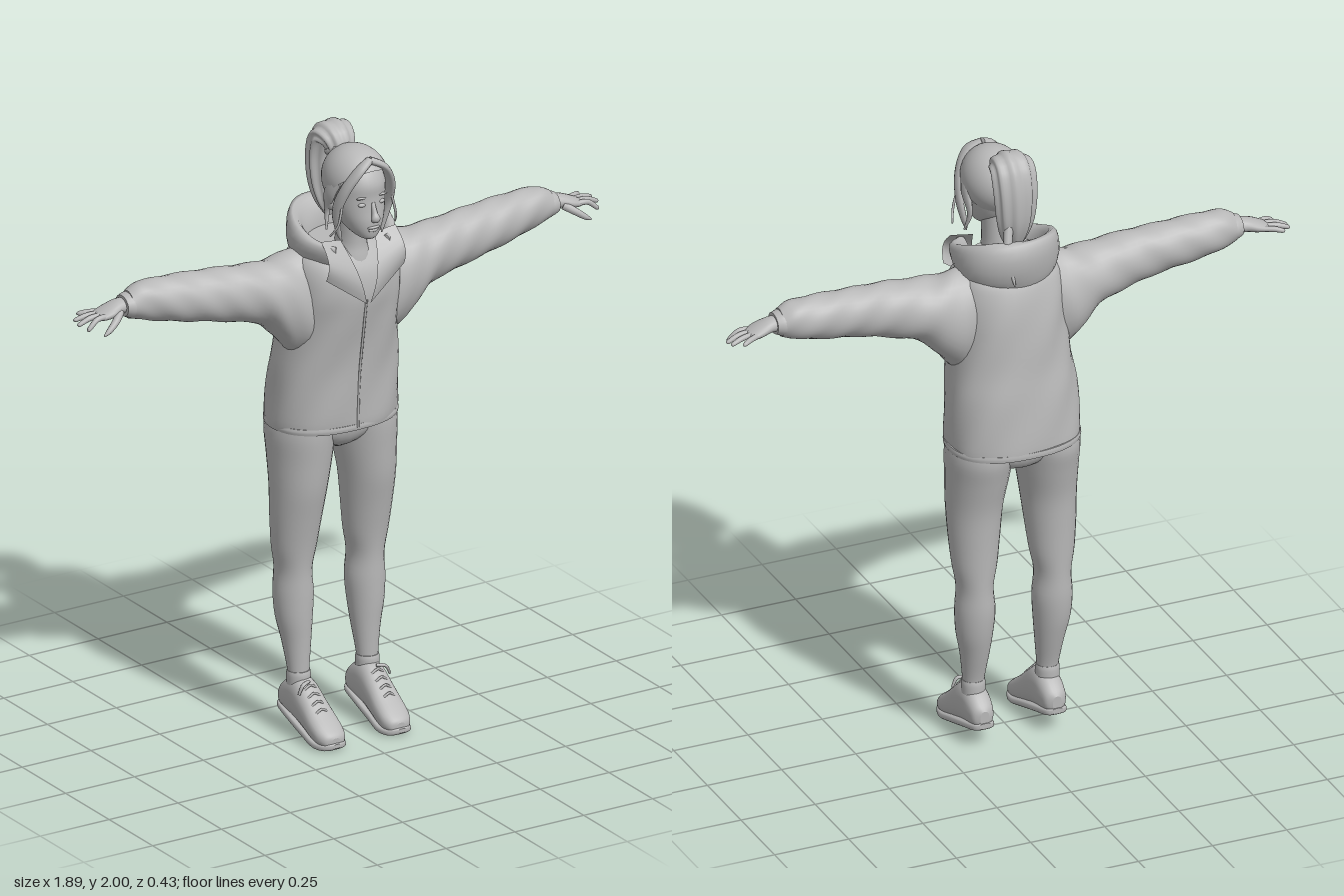
import * as THREE from 'three';

const V = (x, y, z) => new THREE.Vector3(x, y, z);

// Catmull-Rom refinement of rows of numbers
function refine(rows, k = 4) {
  const out = [], at = i => rows[Math.min(rows.length - 1, Math.max(0, i))];
  for (let i = 0; i < rows.length - 1; i++) {
    for (let j = 0; j < k; j++) {
      const s = j / k;
      out.push(at(i).map((b, c) => {
        const a = at(i - 1)[c], d = at(i + 1)[c], e = at(i + 2)[c];
        return 0.5 * (2 * b + (d - a) * s + (2 * a - 5 * b + 4 * d - e) * s * s + (3 * b - a - 3 * d + e) * s * s * s);
      }));
    }
  }
  out.push(rows[rows.length - 1]);
  return out;
}

// Skin over closed rings of points with capped ends, turned to face outward
function skin(rings) {
  const n = rings[0].length, pts = rings.flat(), idx = [];
  for (let i = 0; i < rings.length - 1; i++) for (let j = 0; j < n; j++) {
    const a = i * n + j, b = i * n + (j + 1) % n;
    idx.push(a, a + n, b, b, a + n, b + n);
  }
  [rings[0], rings[rings.length - 1]].forEach((ring, end) => {
    const base = pts.length, mid = V(0, 0, 0);
    ring.forEach(p => { pts.push(p); mid.addScaledVector(p, 1 / n); });
    pts.push(mid);
    for (let j = 0; j < n; j++) {
      const a = base + j, b = base + (j + 1) % n;
      if (end) idx.push(a, base + n, b); else idx.push(a, b, base + n);
    }
  });
  let volume = 0;
  const cross = V(0, 0, 0);
  for (let i = 0; i < idx.length; i += 3) volume += pts[idx[i]].dot(cross.crossVectors(pts[idx[i + 1]], pts[idx[i + 2]]));
  if (volume < 0) idx.reverse();
  const g = new THREE.BufferGeometry().setFromPoints(pts);
  g.setIndex(idx);
  g.computeVertexNormals();
  return g;
}

// Ring of n points around c spanned by u and v; power < 1 squares it
function ring(c, u, v, n, power = 1, ripple = () => 1) {
  return Array.from({ length: n }, (_, j) => {
    const t = j / n * Math.PI * 2, r = ripple(t);
    const f = w => Math.sign(w) * Math.abs(w) ** power * r;
    return c.clone().addScaledVector(u, f(Math.cos(t))).addScaledVector(v, f(Math.sin(t)));
  });
}

// Upright body: rows of [y, centre x, half width, front z, back z]
function upright(rows, { n = 32, power = 1, fold = 0 } = {}) {
  return skin(refine(rows).map(([y, x, w, f, b]) => ring(V(x, y, (f + b) / 2), V(w, 0, 0), V(0, 0, (f - b) / 2), n, power,
    t => 1 + fold * Math.sin(5 * t + 14 * y) * Math.sin(11 * y + 2 * t))));
}

// Sideways body: rows of [x, bottom y, top y, front z, back z]
function sideways(s, rows, { n = 24, power = 1, fold = 0 } = {}) {
  return skin(refine(rows).map(([x, b, t, f, k]) => ring(V(s * x, (b + t) / 2, (f + k) / 2), V(0, (t - b) / 2, 0), V(0, 0, (f - k) / 2), n, power,
    a => 1 + fold * Math.sin(3 * a + 34 * x) * Math.sin(19 * x + a))));
}

// Tapered strand: rows of [x, y, z, radius across, radius deep]
function strand(rows, { n = 10, grooves = 0, ref = V(1, 0, 0) } = {}) {
  const r = refine(rows, 5), p = r.map(q => V(q[0], q[1], q[2]));
  return skin(r.map((q, i) => {
    const t = p[Math.min(i + 1, p.length - 1)].clone().sub(p[Math.max(i - 1, 0)]).normalize();
    const u = ref.clone().addScaledVector(t, -ref.dot(t)).normalize(), v = t.clone().cross(u);
    return ring(p[i], u.multiplyScalar(q[3]), v.multiplyScalar(q[4]), n, 1, a => 1 + grooves * Math.cos(9 * a));
  }));
}

export function createModel() {
  const model = new THREE.Group();
  const clay = new THREE.MeshStandardMaterial({ color: 0xb8b8b8, side: THREE.DoubleSide });
  clay.name = 'plain grey';
  const add = (name, geometry) => {
    const m = new THREE.Mesh(geometry, clay);
    m.name = name;
    model.add(m);
    return m;
  };
  const ball = (name, x, y, z, a, b, c) => {
    const m = add(name, new THREE.SphereGeometry(1, 16, 12));
    m.position.set(x, y, z);
    m.scale.set(a, b, c);
    return m;
  };

  // Jacket body with hem and front zip
  add('jacketBody', upright([
    [1.02, 0, .211, .094, -.213], [1.06, 0, .214, .1, -.213], [1.2, 0, .207, .106, -.2], [1.3, 0, .195, .118, -.186],
    [1.4, 0, .185, .135, -.178], [1.48, 0, .183, .147, -.168], [1.55, 0, .178, .14, -.152], [1.6, 0, .16, .115, -.13],
    [1.64, 0, .1, .085, -.09]], { n: 48, power: .85, fold: .022 }));
  add('jacketHem', upright([[1.02, 0, .214, .097, -.216], [1.03, 0, .216, .099, -.217], [1.04, 0, .214, .098, -.216]], { n: 48, power: .85 }));
  add('zip', strand([[0, 1.47, .148, .004, .004], [0, 1.4, .137, .004, .004], [0, 1.2, .107, .004, .004], [0, 1.03, .098, .004, .004]]));

  // Hood lying on the back, swept around the neck
  const hood = [];
  for (let i = 0; i <= 32; i++) {
    const a = -2.5 + 5 * i / 32, k = (1 + Math.cos(a)) / 2, out = V(Math.sin(a), 0, -Math.cos(a));
    const c = V(Math.sin(a) * .142, 1.605 + .04 * Math.sqrt(k), .005 - Math.cos(a) * .13);
    const high = .035 + .06 * k ** 1.3, thick = .016 + .022 * k;
    hood.push(ring(c, out.clone().multiplyScalar(thick), V(0, high, 0).addScaledVector(out, .012), 16, 1,
      t => 1 + .06 * Math.sin(3 * t + 3 * a)));
  }
  add('hood', skin(hood));

  // Neck and head
  add('neck', upright([[1.53, 0, .075, .128, 0], [1.6, 0, .06, .118, -.005], [1.65, 0, .046, .112, 0], [1.76, 0, .045, .12, .01]], { n: 24 }));
  add('head', upright([
    [1.683, 0, .018, .176, .14], [1.692, 0, .034, .184, .1], [1.715, 0, .054, .189, .055], [1.745, 0, .069, .191, .02],
    [1.78, 0, .079, .188, 0], [1.82, 0, .084, .186, -.015], [1.86, 0, .084, .187, -.02], [1.9, 0, .074, .168, 0],
    [1.94, 0, .045, .13, .03]], { n: 36, power: .95 }));
  add('nose', strand([[0, 1.805, .182, .007, .007], [0, 1.775, .193, .009, .01], [0, 1.757, .201, .015, .012], [0, 1.747, .191, .01, .006]]));
  ball('upperLip', 0, 1.725, .188, .023, .005, .007);
  ball('lowerLip', 0, 1.716, .186, .018, .006, .007);

  // Hair cap tilted back, ponytail and band
  const cap = new THREE.SphereGeometry(1, 40, 24, 0, Math.PI * 2, 0, Math.PI * .56);
  cap.rotateX(-.72);
  const hair = add('hairCap', cap);
  hair.position.set(0, 1.855, .082);
  hair.scale.set(.099, .107, .119);
  add('ponytail', strand([
    [0, 1.9, .005, .035, .03], [0, 1.95, -.016, .056, .04], [0, 1.955, -.06, .068, .042], [0, 1.89, -.083, .068, .042],
    [0, 1.8, -.085, .06, .04], [0, 1.73, -.075, .042, .03], [0, 1.68, -.07, .012, .01]], { n: 54, grooves: .07 }));
  const band = add('hairBand', new THREE.TorusGeometry(.036, .012, 10, 24));
  band.position.set(0, 1.92, -.008);
  band.rotation.x = Math.PI / 2 - .5;
  add('looseTail', strand([[.03, 1.78, -.1, .015, .015], [.045, 1.7, -.13, .013, .012], [.035, 1.6, -.16, .003, .003]]));

  for (const s of [1, -1]) {
    // Face details
    ball('eye', s * .034, 1.802, .176, .014, .007, .008);
    ball('brow', s * .036, 1.825, .178, .02, .004, .006);
    ball('ear', s * .085, 1.79, .075, .011, .027, .018);

    // Locks framing the face
    add('faceLock', strand([[0, 1.94, .165, .014, .012], [s * .045, 1.915, .176, .022, .011], [s * .08, 1.855, .155, .022, .013],
      [s * .094, 1.78, .125, .02, .012], [s * .083, 1.71, .115, .012, .009], [s * .072, 1.67, .12, .002, .002]], { ref: V(0, 0, 1) }));
    add('templeHair', strand([[s * .08, 1.87, .1, .03, .014], [s * .092, 1.82, .08, .026, .012], [s * .088, 1.76, .06, .012, .008],
      [s * .1, 1.7, .075, .003, .003]], { ref: V(0, 0, 1) }));
    add('looseStrand', strand([[s * .09, 1.8, .15, .004, .004], [s * .104, 1.74, .15, .004, .004], [s * .118, 1.7, .125, .003, .003]]));

    // Collar flap, a bowed sheet between four corners
    const corners = [[.062, 1.665, .095], [.135, 1.675, .1], [.142, 1.56, .14], [.006, 1.462, .16]].map(([x, y, z]) => V(s * x, y, z));
    const flap = new THREE.PlaneGeometry(1, 1, 8, 8), pos = flap.attributes.position;
    for (let i = 0; i < pos.count; i++) {
      const u = pos.getX(i) + .5, v = .5 - pos.getY(i);
      const p = corners[0].clone().lerp(corners[1], u).lerp(corners[3].clone().lerp(corners[2], u), v);
      pos.setXYZ(i, p.x, p.y, p.z + .03 * Math.sin(Math.PI * v));
    }
    if (s < 0) flap.index.array.reverse();
    flap.computeVertexNormals();
    add('collarFlap', flap);

    // Batwing sleeve and cuff
    add('sleeve', sideways(s, [
      [.1, 1.27, 1.63, .08, -.11], [.18, 1.285, 1.617, .088, -.118], [.24, 1.345, 1.607, .09, -.11], [.3, 1.405, 1.606, .083, -.096],
      [.4, 1.437, 1.614, .074, -.082], [.5, 1.46, 1.622, .066, -.08], [.6, 1.477, 1.63, .054, -.08], [.68, 1.495, 1.632, .042, -.078],
      [.73, 1.51, 1.628, .035, -.072], [.765, 1.522, 1.61, .026, -.06]], { n: 32, fold: .045 }));
    add('cuff', sideways(s, [[.745, 1.522, 1.61, .028, -.064], [.765, 1.525, 1.607, .028, -.062], [.785, 1.533, 1.6, .022, -.055]]));

    // Hand with four fingers and thumb
    add('palm', sideways(s, [[.76, 1.54, 1.592, .01, -.045], [.8, 1.544, 1.59, .013, -.052], [.835, 1.537, 1.578, .02, -.058],
      [.865, 1.536, 1.564, .015, -.058], [.875, 1.54, 1.558, .008, -.05]], { n: 20 }));
    [[.928, 1.524, .012, .005], [.944, 1.533, -.018, -.013], [.94, 1.538, -.047, -.031], [.912, 1.544, -.074, -.049]].forEach(([x, y, z, z0]) =>
      add('finger', strand([[s * .855, 1.552, z0, .009, .009], [s * (.855 + x) / 2, 1.551, (z + z0) / 2, .009, .009],
        [s * (x - .006), y + .003, z, .007, .007], [s * x, y, z, .002, .002]], { ref: V(0, 0, 1) })));
    add('thumb', strand([[s * .805, 1.557, .005, .013, .013], [s * .835, 1.538, .027, .012, .012], [s * .865, 1.517, .037, .009, .009],
      [s * .884, 1.506, .04, .003, .003]], { ref: V(0, 0, 1) }));

    // Leg
    add('leg', upright([
      [.14, s * .125, .032, -.014, -.078], [.2, s * .125, .034, -.014, -.079], [.3, s * .126, .046, -.01, -.106],
      [.38, s * .13, .058, -.005, -.126], [.46, s * .13, .063, -.003, -.136], [.54, s * .131, .057, -.002, -.136], [.62, s * .13, .071, .008, -.138],
      [.72, s * .128, .081, .028, -.142], [.82, s * .124, .088, .05, -.15], [.92, s * .117, .097, .062, -.172],
      [1, s * .113, .102, .07, -.19], [1.06, s * .105, .098, .07, -.185]], { n: 28 }));
    add('sock', upright([[.16, s * .125, .037, -.009, -.084], [.19, s * .125, .038, -.008, -.084], [.205, s * .125, .036, -.011, -.081]]));

    // Shoe upper and sole: rows of [z, centre x, bottom, top, half width]
    const shoe = (name, rows, power) => add(name, skin(refine(rows).map(([z, x, b, t, w]) =>
      ring(V(s * x, (b + t) / 2, z), V(w, 0, 0), V(0, (t - b) / 2, 0), 24, power))));
    shoe('shoe', [[-.128, .122, .075, .125, .015], [-.115, .122, .066, .142, .034], [-.085, .122, .058, .168, .042], [-.045, .122, .05, .188, .045],
      [-.005, .122, .04, .182, .047], [.04, .121, .026, .147, .049], [.085, .12, .014, .108, .052], [.125, .119, .008, .078, .05],
      [.152, .118, .01, .056, .036], [.16, .118, .02, .044, .015]], .85);
    shoe('sole', [[-.13, .122, .066, .085, .018], [-.115, .122, .058, .084, .037], [-.05, .122, .042, .07, .046], [.04, .121, .016, .046, .051],
      [.1, .119, .001, .03, .055], [.14, .118, .001, .026, .047], [.158, .118, .006, .028, .032], [.166, .118, .013, .026, .012]], .6);

    // Laces across the instep
    for (let i = 0; i < 4; i++) {
      const z = .015 + i * .022, y = .171 - i * .019;
      add('lace', strand([[s * .097, y - .016, z, .004, .004], [s * .122, y + .002, z + .004, .004, .004], [s * .147, y - .016, z, .004, .004]], { ref: V(0, 1, 0) }));
    }
    add('laceBow', strand([[s * .122, .182, .01, .005, .005], [s * .15, .178, .02, .007, .005], [s * .165, .15, .02, .005, .004]], { ref: V(0, 0, 1) }));
  }

  // Hips joining the legs
  add('hips', upright([[.935, 0, .03, .0, -.09], [.96, 0, .1, .04, -.15], [1, 0, .19, .062, -.175], [1.06, 0, .2, .07, -.18]], { n: 32 }));

  return model;
}
